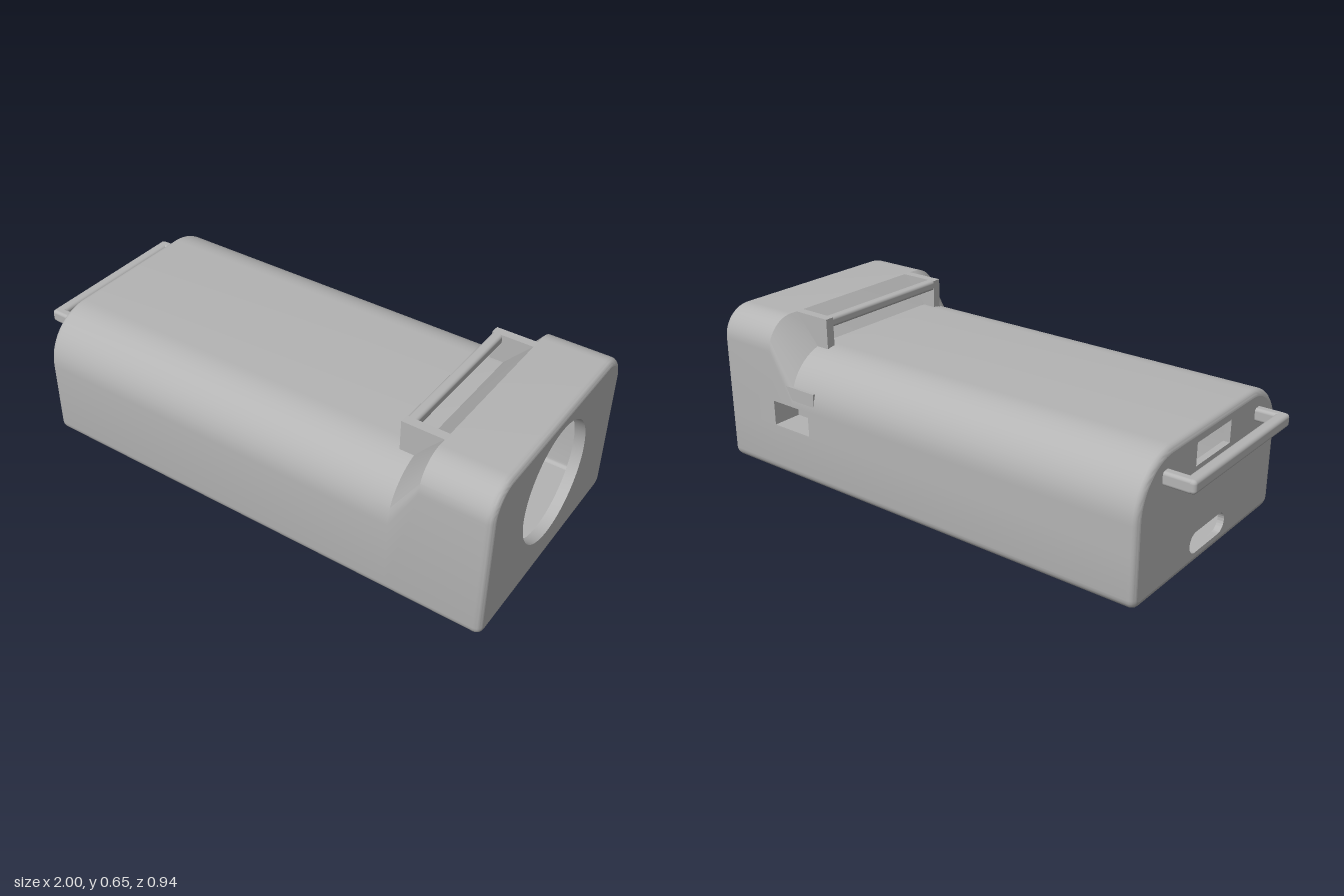
import * as THREE from 'three';
import { toCreasedNormals } from 'three/addons/utils/BufferGeometryUtils.js';
import { RoundedBoxGeometry } from 'three/addons/geometries/RoundedBoxGeometry.js';

const WALL = 0.025, X0 = -0.885, X1 = 1.0;
const BODY = [0.54, 0.2], HEAD = [0.65, 0.12]; // top height, top corner radius
const WINDOW = { x0: 0.555, x1: 0.74, y0: 0.23, y1: 0.33 };

// Cross-section of the case as [z, y] points, shrunk by an inset
function section(inset, [top, radius]) {
  const w = 0.47 - inset, b = 0.025 + inset, t = top - inset;
  const R = radius - inset, r = 0.04 - inset, pts = [];
  const arc = (cz, cy, rad, from, n) => {
    for (let i = 0; i <= n; i++) {
      const a = (from + (90 * i) / n) * Math.PI / 180;
      pts.push([cz + rad * Math.cos(a), cy + rad * Math.sin(a)]);
    }
  };
  arc(w - r, b + r, r, -90, 5);
  arc(w - R, t - R, R, 0, 14);
  arc(R - w, t - R, R, 90, 14);
  pts.push([-w, WINDOW.y1], [-w, WINDOW.y0]);
  arc(r - w, b + r, r, 180, 5);
  return pts;
}

// Skin through stations [x, inset, profile], leaving out the floor and side window
function loft(stations, inward) {
  const rings = stations.map(([x, d, p]) => section(d, p).map(([z, y]) => [x, y, z]));
  const n = rings[0].length, pos = [];
  for (let i = 0; i < rings.length - 1; i++) {
    const xa = stations[i][0], xb = stations[i + 1][0];
    const flat = xa >= X0 + WALL - 1e-6 && xb <= X1 - WALL + 1e-6;
    const atWindow = xa >= WINDOW.x0 - 1e-6 && xb <= WINDOW.x1 + 1e-6;
    for (let j = 0; j < n; j++) {
      if (flat && j === n - 1) continue;
      if (atWindow && j === n - 8) continue;
      const k = (j + 1) % n;
      const a = rings[i][j], b = rings[i + 1][j], c = rings[i + 1][k], d = rings[i][k];
      pos.push(...(inward ? [a, c, b, a, d, c] : [a, b, c, a, c, d]).flat());
    }
  }
  const g = new THREE.BufferGeometry();
  g.setAttribute('position', new THREE.Float32BufferAttribute(pos, 3));
  return toCreasedNormals(g, 0.45);
}

const polygon = (pts, Type = THREE.Shape) => new Type(pts.map(p => new THREE.Vector2(p[0], p[1])));
const rect = (x0, y0, x1, y1, Type) => polygon([[x0, y0], [x1, y0], [x1, y1], [x0, y1]], Type);
const circle = (x, y, r) => new THREE.Path().absarc(x, y, r, 0, Math.PI * 2, true);

function extrude(shape, depth) {
  const g = new THREE.ExtrudeGeometry(shape, { depth, bevelEnabled: false, curveSegments: 32 });
  return toCreasedNormals(g, 0.45);
}

export function createModel() {
  const model = new THREE.Group();
  const grey = new THREE.MeshStandardMaterial({ color: 0xb4b4b4 });
  grey.name = 'grey plastic';
  const add = (name, geometry) => {
    const m = new THREE.Mesh(geometry, grey);
    m.name = name;
    model.add(m);
    return m;
  };
  const box = (name, x0, x1, y0, y1, z0, z1, radius = 0) => {
    const s = [x1 - x0, y1 - y0, z1 - z0];
    const g = radius ? new RoundedBoxGeometry(...s, 3, radius) : new THREE.BoxGeometry(...s);
    add(name, g).position.set((x0 + x1) / 2, (y0 + y1) / 2, (z0 + z1) / 2);
  };

  // Outer and inner skins
  const middle = d => [
    [X0 + WALL, d, BODY], [WINDOW.x0, d, BODY], [0.635, d, BODY],
    [WINDOW.x1, d, HEAD], [X1 - WALL, d, HEAD],
  ];
  const rear = [], front = [];
  for (let i = 0; i < 5; i++) {
    const a = (i / 5) * Math.PI / 2;
    const dx = WALL * (1 - Math.sin(a)), inset = WALL * (1 - Math.cos(a));
    rear.push([X0 + dx, 0, BODY]);
    rear[i][0] = X0 + WALL * (1 - Math.cos(Math.PI / 2 * (i / 5)));
    rear[i][1] = WALL * (1 - Math.sin(a));
    front.push([X1 - WALL + WALL * Math.sin(a), inset, HEAD]);
  }
  front.push([X1, WALL, HEAD]);
  add('outerShell', loft([...rear, ...middle(0), ...front.slice(1)], false));
  add('innerShell', loft(middle(WALL), true));

  // Front end wall with the big round opening
  const frontShape = polygon(section(WALL, HEAD));
  frontShape.holes.push(circle(0, 0.368, 0.228));
  const frontWall = extrude(frontShape, 0.04);
  frontWall.rotateY(Math.PI / 2).translate(X1 - 0.04, 0, 0);
  add('frontWall', frontWall);

  // Rear end wall with a cable slot and a rounded port
  const rearShape = polygon(section(WALL, BODY));
  rearShape.holes.push(rect(-0.115, 0.405, 0.115, 0.49, THREE.Path));
  const port = new THREE.Path();
  port.absarc(0.08, 0.108, 0.04, -Math.PI / 2, Math.PI / 2, false);
  port.absarc(-0.08, 0.108, 0.04, Math.PI / 2, Math.PI * 1.5, false);
  rearShape.holes.push(port);
  const rearWall = extrude(rearShape, WALL);
  rearWall.rotateY(Math.PI / 2).translate(X0, 0, 0);
  add('rearWall', rearWall);

  // Floor with H-shaped flex slit, square hole and two pin holes
  const floor = rect(X0 + WALL, -0.43, X1 - WALL, 0.43);
  const t = 0.006, c = 0.297, z = 0.157, xa = 0.026, xb = 0.57;
  floor.holes.push(
    polygon([[xa, -z - t], [xb, -z - t], [xb, -z + t], [c + t, -z + t], [c + t, z - t], [xb, z - t],
      [xb, z + t], [xa, z + t], [xa, z - t], [c - t, z - t], [c - t, -z + t], [xa, -z + t]], THREE.Path),
    rect(0.785, 0.315, 0.855, 0.385, THREE.Path),
    circle(-0.66, -0.22, 0.014), circle(-0.78, -0.22, 0.014));
  const floorGeo = extrude(floor, WALL);
  floorGeo.rotateX(Math.PI / 2).translate(0, 0.05, 0);
  add('floor', floorGeo);

  // Triangular buttons under the floor, pointing away from each other
  for (const [base, tip] of [[0.23, 0.1], [0.36, 0.49]]) {
    const g = extrude(polygon([[base, -0.075], [base, 0.075], [tip, 0]]), 0.026);
    g.rotateX(Math.PI / 2).translate(0, 0.026, 0);
    add('triangleButton', g);
  }

  // Switch housing behind the side window
  const frame = rect(0.52, 0.19, 0.775, 0.41);
  frame.holes.push(rect(WINDOW.x0, WINDOW.y0, WINDOW.x1, WINDOW.y1, THREE.Path));
  const frameGeo = extrude(frame, 0.12);
  frameGeo.translate(0, 0, -0.469);
  add('switchHousingFrame', frameGeo);
  box('switchHousing', 0.52, 0.775, 0.19, 0.41, -0.35, -0.2);

  // Small ledges inside
  for (const s of [-1, 1]) box('innerLedge', -0.1, 0, 0.19, 0.215, s * 0.295 - 0.155, s * 0.295 + 0.155);

  // Rear strap handle
  box('rearHandleBar', -1, -0.955, 0.42, 0.47, -0.33, 0.33, 0.014);
  for (const s of [-1, 1]) {
    box('rearHandleArm', -0.99, -0.87, 0.42, 0.47, s * 0.31 - 0.02, s * 0.31 + 0.02, 0.012);
  }

  // Top strap handle in front of the raised head
  box('topHandleBar', 0.58, 0.62, 0.61, 0.65, -0.32, 0.32, 0.012);
  const arm = polygon([[0.58, 0.52], [0.64, 0.52], [0.745, 0.64], [0.745, 0.65], [0.58, 0.65]]);
  for (const s of [-1, 1]) {
    const g = extrude(arm, 0.035);
    g.translate(0, 0, s * 0.305 - 0.0175);
    add('topHandleArm', g);
  }
  return model;
}
